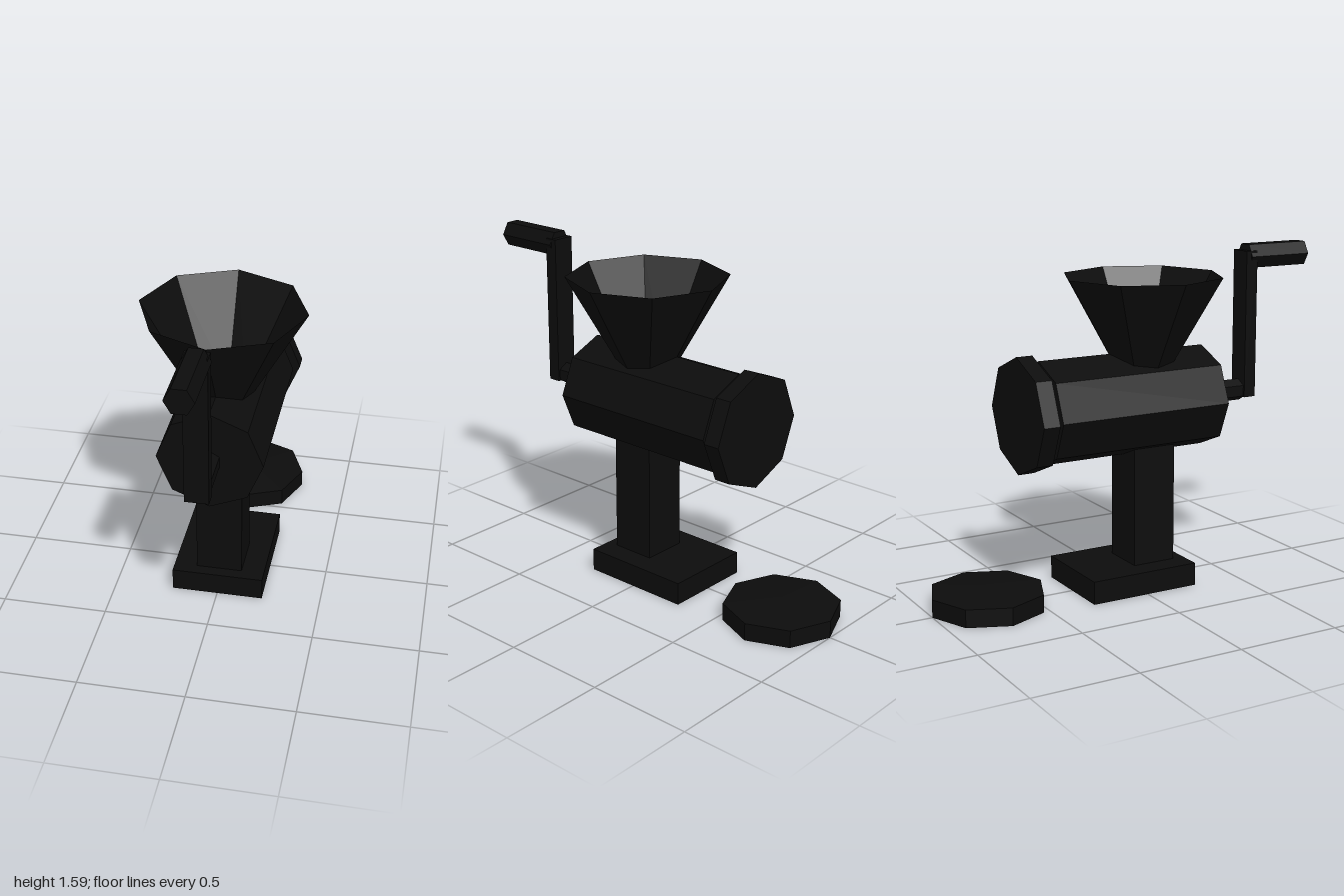
import * as THREE from 'three';

export function createModel() {
  const group = new THREE.Group();
  const iron = new THREE.MeshStandardMaterial({ color: 0x0c0c0c, flatShading: true });
  iron.name = 'black iron';
  const ironSheet = new THREE.MeshStandardMaterial({ color: 0x0c0c0c, flatShading: true, side: THREE.DoubleSide });
  ironSheet.name = 'black iron sheet';

  function add(name, geometry, x, y, z, material = iron) {
    const mesh = new THREE.Mesh(geometry, material);
    mesh.name = name;
    mesh.position.set(x, y, z);
    group.add(mesh);
  }

  // Prism lying along z between two depths
  function rod(name, radius, sides, y, z0, z1, turn = 0) {
    const geometry = new THREE.CylinderGeometry(radius, radius, z1 - z0, sides, 1, false, turn);
    add(name, geometry.rotateX(Math.PI / 2), 0, y, (z0 + z1) / 2);
  }

  // Stand
  add('base', new THREE.BoxGeometry(0.44, 0.11, 0.55), 0, 0.055, -0.012);
  add('post', new THREE.BoxGeometry(0.22, 0.64, 0.216), 0, 0.42, 0.099);

  // Grinding body and end plate
  rod('drum', 0.245, 8, 0.88, -0.45, 0.425);
  rod('endPlate', 0.274, 8, 0.88, -0.56, -0.48);

  // Open funnel, its lower rim sunk into the drum
  add('hopper', new THREE.CylinderGeometry(0.383, 0.125, 0.45, 8, 1, true), 0, 1.255, 0.095, ironSheet);

  // Crank
  rod('axle', 0.053, 6, 0.882, 0.4, 0.65);
  add('crankArm', new THREE.BoxGeometry(0.11, 0.715, 0.062), 0, 1.208, 0.674);
  rod('grip', 0.065, 6, 1.538, 0.67, 1.0, Math.PI / 2);

  // Loose dish on the ground with a shallow peaked top
  const profile = [[0, 0], [0.273, 0], [0.273, 0.085], [0, 0.11]].map(p => new THREE.Vector2(...p));
  add('dish', new THREE.LatheGeometry(profile, 8), 0, 0, -0.727);

  return group;
}
